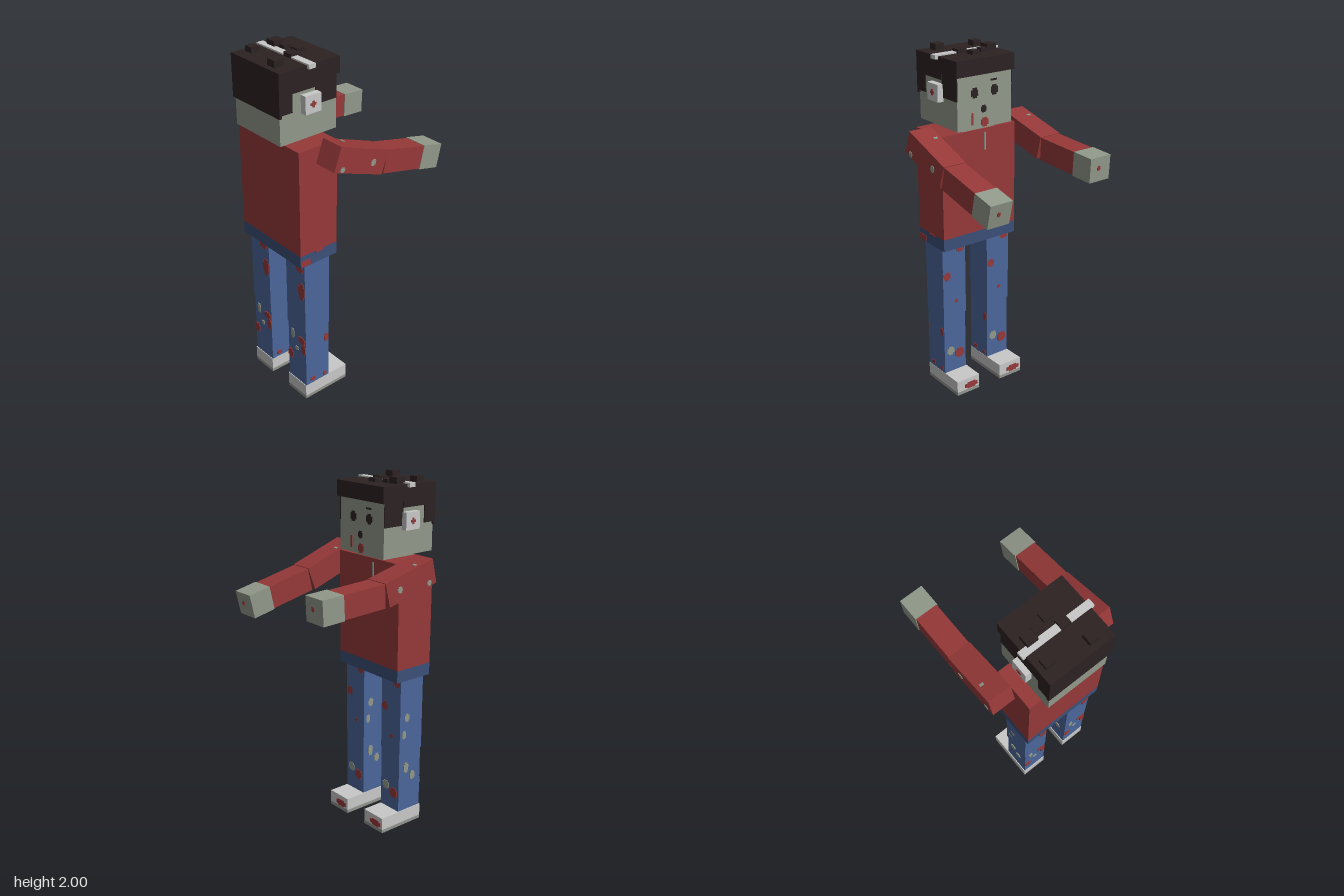
import * as THREE from 'three';

const mat = (name, color) => {
  const m = new THREE.MeshStandardMaterial({ color });
  m.name = name;
  return m;
};

export function createModel() {
  const root = new THREE.Group();
  root.name = 'zombie';
  const red = mat('sweater red', 0x963838);
  const skin = mat('grey skin', 0x91998a);
  const blue = mat('jeans blue', 0x4b669b);
  const navy = mat('hem blue', 0x3b4f78);
  const white = mat('off white', 0xc8c8c8);
  const hairMat = mat('dark hair', 0x2c2222);
  const sole = mat('sole grey', 0x92948e);

  // Box given by its lowest and highest corners
  const box = (name, m, a, b, parent = root) => {
    const s = a.map((v, i) => b[i] - v);
    const mesh = new THREE.Mesh(new THREE.BoxGeometry(...s), m);
    mesh.position.set(...a.map((v, i) => (v + b[i]) / 2));
    mesh.name = name;
    parent.add(mesh);
    return mesh;
  };
  // Thin painted plate lying across one axis (0 = x, 1 = y, 2 = z)
  const patch = (name, m, axis, c, w, h, parent = root) => {
    const s = axis === 0 ? [0.006, h, w] : axis === 1 ? [w, 0.006, h] : [w, h, 0.006];
    return box(name, m, c.map((v, i) => v - s[i] / 2), c.map((v, i) => v + s[i] / 2), parent);
  };
  // Blot made of two crossed plates for a ragged outline
  const blot = (name, m, axis, c, w, h, parent = root) => {
    patch(name, m, axis, c, w, h * 0.6, parent);
    patch(name, m, axis, c, w * 0.6, h, parent);
  };

  // Torso
  box('sweater', red, [-0.247, 0.97, 0.157], [0.244, 1.562, 0.4]);
  box('hem', navy, [-0.247, 0.9, 0.157], [0.244, 0.97, 0.4]);
  patch('sweaterUnderside', red, 1, [0, 0.9, 0.28], 0.44, 0.2);
  patch('hemStain', red, 0, [0.244, 0.922, 0.366], 0.06, 0.036);
  patch('hemStain', red, 0, [0.244, 0.966, 0.275], 0.05, 0.012);
  patch('chestTear', skin, 2, [-0.04, 1.49, 0.157], 0.012, 0.1);
  box('neck', skin, [-0.11, 1.56, 0.165], [0.11, 1.592, 0.39]);

  // Head and face
  box('head', skin, [-0.18, 1.588, 0.105], [0.176, 1.95, 0.457]);
  for (const s of [1, -1]) blot('eye', hairMat, 2, [s * 0.065, 1.783, 0.105], 0.045, 0.055);
  patch('eyebrow', hairMat, 2, [-0.06, 1.838, 0.105], 0.04, 0.01);
  blot('nose', hairMat, 2, [0.007, 1.69, 0.105], 0.035, 0.04);
  blot('mouth', red, 2, [0, 1.617, 0.105], 0.045, 0.05);
  patch('bloodDrip', red, 2, [0.08, 1.645, 0.105], 0.012, 0.065);

  // Hair
  box('hairCap', hairMat, [-0.19, 1.878, 0.09], [0.187, 1.965, 0.465]);
  box('hairBack', hairMat, [-0.19, 1.735, 0.45], [0.187, 1.88, 0.465]);
  for (const x of [-0.187, 0.184]) {
    patch('hairSideBack', hairMat, 0, [x, 1.815, 0.425], 0.078, 0.13);
    patch('hairSideTop', hairMat, 0, [x, 1.863, 0.31], 0.155, 0.036);
  }
  for (const x of [-0.18, 0.176]) patch('sideburn', hairMat, 0, [x, 1.815, 0.172], 0.134, 0.13);
  for (const [x, z, s, top] of [[-0.128, 0.24, 0.06, 2], [-0.073, 0.223, 0.04, 1.985],
    [0, 0.2, 0.05, 1.985], [0.04, 0.272, 0.055, 1.987], [-0.135, 0.375, 0.05, 1.995], [0.09, 0.407, 0.055, 2]]) {
    box('hairTuft', hairMat, [x - s / 2, 1.96, z - s / 2], [x + s / 2, top, z + s / 2]);
  }

  // Headband and ear covers with a red cross
  box('headband', white, [-0.207, 1.95, 0.257], [0.205, 1.973, 0.297]);
  for (const s of [1, -1]) {
    const a = s > 0 ? 0.176 : -0.215, b = s > 0 ? 0.213 : -0.18;
    box('earCover', white, [a, 1.728, 0.23], [b, 1.823, 0.328]);
    const x = s > 0 ? b : a;
    patch('earCross', red, 0, [x, 1.775, 0.28], 0.034, 0.013);
    patch('earCross', red, 0, [x, 1.775, 0.28], 0.013, 0.034);
  }

  // Arms: pivot at the top of the shoulder, then at the top of the elbow
  const arm = (name, x, y, z, shoulderDeg, elbowDeg) => {
    const g = new THREE.Group();
    g.name = name;
    g.position.set(x, y, z);
    g.rotation.x = -THREE.MathUtils.degToRad(shoulderDeg);
    box('upperSleeve', red, [-0.0675, -0.133, -0.335], [0.0675, 0, 0], g);
    const f = new THREE.Group();
    f.name = 'forearm';
    f.position.z = -0.335;
    f.rotation.x = THREE.MathUtils.degToRad(shoulderDeg - elbowDeg);
    box('lowerSleeve', red, [-0.0635, -0.13, -0.27], [0.0635, -0.003, 0], f);
    box('hand', skin, [-0.0675, -0.133, -0.4], [0.0675, 0, -0.268], f);
    blot('handStain', red, 2, [0.01, -0.06, -0.4], 0.02, 0.025, f);
    g.add(f);
    root.add(g);
    const out = Math.sign(x);
    blot('sleeveTear', skin, 0, [out * 0.0675, -0.115, -0.05], 0.028, 0.028, g);
    blot('sleeveTear', skin, 0, [out * 0.0675, -0.07, -0.25], 0.03, 0.035, g);
    patch('sleeveTear', skin, 1, [-0.034, 0, -0.1], 0.022, 0.014, g);
  };
  arm('leftArm', 0.3155, 1.6, 0.25, 19.8, 12.8);
  arm('rightArm', -0.3185, 1.603, 0.262, 13.7, 2.5);

  // Legs: the same stains and tears on both
  const back = [[0.035, 0.855, 0.06, 0.036, red], [0.05, 0.72, 0.05, 0.1, red], [-0.034, 0.4, 0.025, 0.06, skin],
    [0.045, 0.39, 0.055, 0.04, red], [0.06, 0.335, 0.03, 0.07, red], [0, 0.315, 0.025, 0.025, skin],
    [-0.055, 0.25, 0.04, 0.06, red]];
  const front = [[0.05, 0.72, 0.045, 0.05, red], [-0.045, 0.875, 0.05, 0.04, red], [-0.01, 0.55, 0.025, 0.02, red],
    [0.035, 0.23, 0.05, 0.05, skin], [-0.03, 0.2, 0.06, 0.06, red]];
  const inner = [[0.25, 0.67, 0.035, 0.05, skin], [0.23, 0.57, 0.03, 0.05, skin],
    [0.25, 0.36, 0.035, 0.06, skin], [0.3, 0.3, 0.035, 0.05, skin]];
  const outer = [[0.22, 0.365, 0.03, 0.05, red], [0.315, 0.12, 0.035, 0.024, red], [0.23, 0.115, 0.025, 0.02, red]];
  for (const [name, x] of [['leftLeg', 0.153], ['rightLeg', -0.157]]) {
    const g = new THREE.Group();
    g.name = name;
    g.position.x = x;
    root.add(g);
    box('thigh', blue, [-0.078, 0.46, 0.197], [0.078, 0.9, 0.365], g);
    box('shin', blue, [-0.073, 0.09, 0.2], [0.077, 0.46, 0.363], g);
    box('shoe', white, [-0.078, 0.02, 0.072], [0.078, 0.092, 0.367], g);
    box('sole', sole, [-0.078, 0, 0.072], [0.078, 0.02, 0.367], g);
    for (const [u, y, w, h, m] of back) blot('patch', m, 2, [u, y, 0.365], w, h, g);
    for (const [u, y, w, h, m] of front) blot('patch', m, 2, [u, y, 0.199], w, h, g);
    for (const [u, y, w, h, m] of inner) blot('patch', m, 0, [-0.0755, y, u], w, h, g);
    for (const [u, y, w, h, m] of outer) blot('patch', m, 0, [0.0775, y, u], w, h, g);
    blot('toeStain', red, 2, [-0.02, 0.045, 0.072], 0.09, 0.04, g);
    blot('soleStain', red, 1, [0.01, 0.003, 0.15], 0.05, 0.04, g);
  }
  return root;
}
